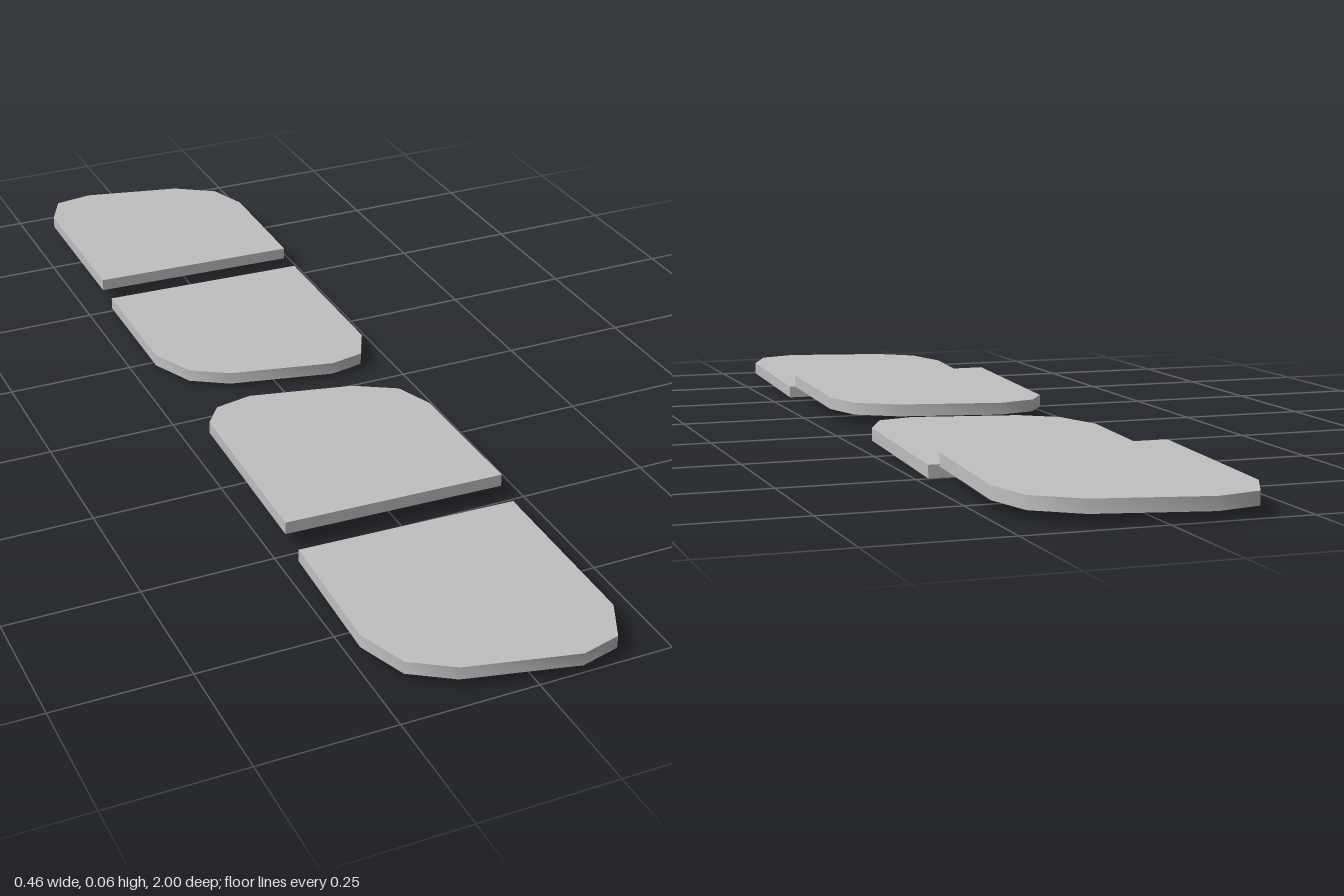
import * as THREE from 'three';
import { toCreasedNormals } from 'three/addons/utils/BufferGeometryUtils.js';

const THICKNESS = 0.024;
const SLOPE_X = -0.006, SLOPE_Z = 0.026; // gentle tilt shared by every plate

// Outlines as [x, z]; y is the underside height at the anchor point [x, z]
const PLATES = [
  { name: 'backOuterPlate', y: 0.027, anchor: [0.22, -0.535], outline: [
    [-0.203, -0.545], [-0.195, -0.91], [-0.16, -0.985], [-0.08, -1], [0.12, -0.955], [0.2, -0.9], [0.228, -0.815], [0.219, -0.535]] },
  { name: 'backInnerPlate', y: 0, anchor: [0.227, -0.497], outline: [
    [-0.197, -0.507], [0.227, -0.497], [0.218, -0.13], [0.18, -0.055], [0.11, -0.04], [-0.095, -0.085], [-0.165, -0.13], [-0.203, -0.22]] },
  { name: 'frontInnerPlate', y: 0.034, anchor: [-0.222, 0.484], outline: [
    [-0.222, 0.484], [-0.21, 0.093], [-0.175, 0.045], [-0.1, 0.028], [0.1, 0.072], [0.18, 0.12], [0.208, 0.198], [0.204, 0.494]] },
  { name: 'frontOuterPlate', y: 0.002, anchor: [0.204, 0.54], outline: [
    [-0.217, 0.53], [0.204, 0.54], [0.195, 0.9], [0.155, 0.98], [0.08, 1], [-0.122, 0.952], [-0.196, 0.902], [-0.229, 0.807]] },
];

// Extrudes an outline upwards and shears it onto its tilted plane
function plateGeometry({ outline, y, anchor }) {
  const shape = new THREE.Shape(outline.map(([x, z]) => new THREE.Vector2(x, -z)));
  const geometry = new THREE.ExtrudeGeometry(shape, { depth: THICKNESS, bevelEnabled: false });
  geometry.rotateX(-Math.PI / 2);
  const p = geometry.attributes.position;
  for (let i = 0; i < p.count; i++) {
    const tilt = SLOPE_X * (p.getX(i) - anchor[0]) + SLOPE_Z * (p.getZ(i) - anchor[1]);
    p.setY(i, p.getY(i) + y + tilt);
  }
  return toCreasedNormals(geometry, Math.PI / 4); // rounded corners smooth, rims sharp
}

export function createModel() {
  const model = new THREE.Group();
  model.name = 'plates';
  const grey = new THREE.MeshStandardMaterial({ color: 0xc0c0c0 });
  grey.name = 'light grey';
  for (const plate of PLATES) {
    const mesh = new THREE.Mesh(plateGeometry(plate), grey);
    mesh.name = plate.name;
    model.add(mesh);
  }
  return model;
}
